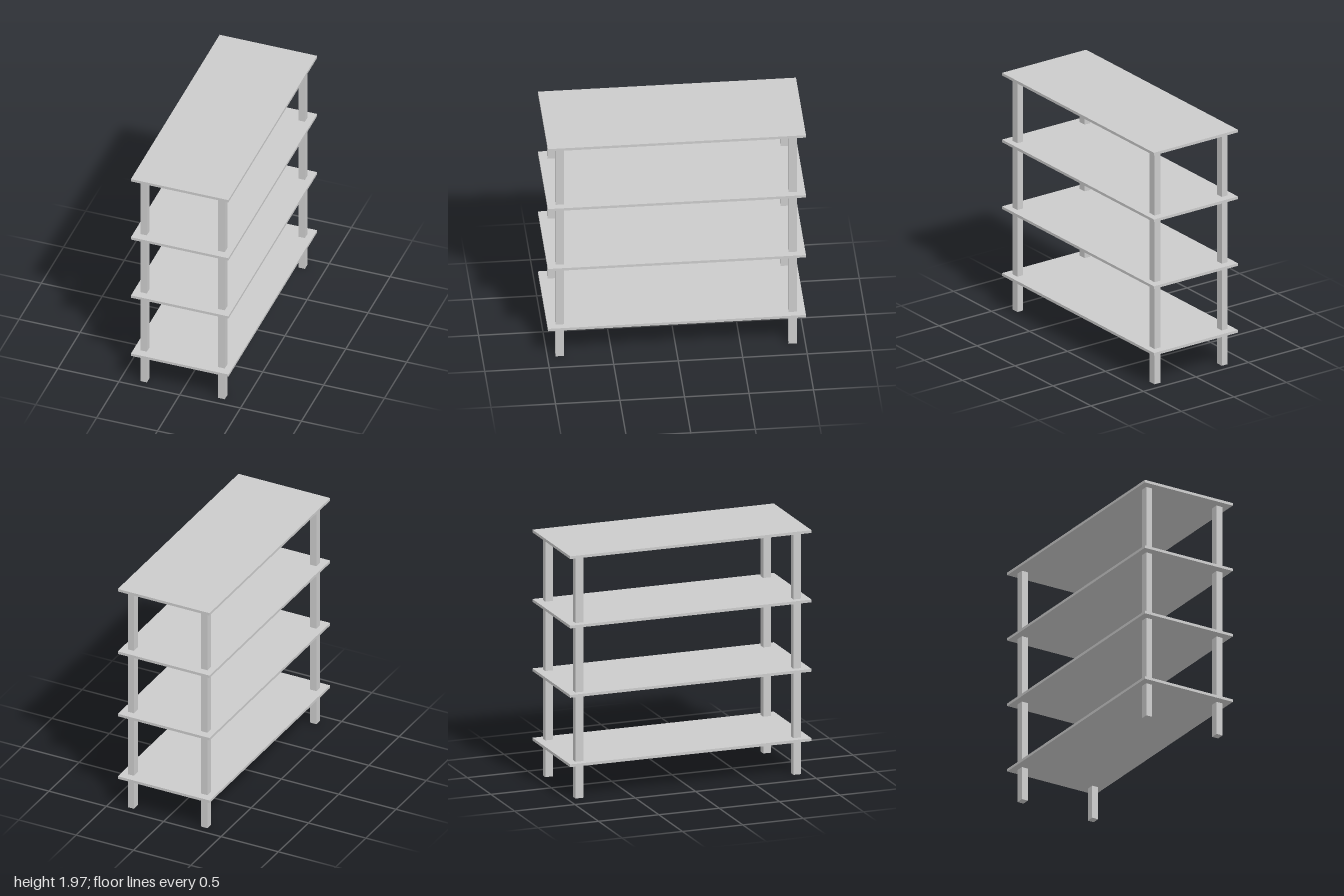
import * as THREE from 'three';

const SHELF = { width: 0.8, thickness: 0.022, depth: 2, firstY: 0.284, pitch: 0.557, count: 4 };
const POST = { width: 0.054, depth: 0.064, x: 0.32, z: 0.903 };

export function createModel() {
  const group = new THREE.Group();
  group.name = 'shelvingUnit';
  const material = new THREE.MeshStandardMaterial({ color: 0xcccccc });

  const addBox = (name, size, position) => {
    const mesh = new THREE.Mesh(new THREE.BoxGeometry(...size), material);
    mesh.name = name;
    mesh.position.set(...position);
    group.add(mesh);
  };

  // Evenly spaced shelf boards
  for (let i = 0; i < SHELF.count; i++) {
    addBox(`shelf${i + 1}`, [SHELF.width, SHELF.thickness, SHELF.depth], [0, SHELF.firstY + i * SHELF.pitch, 0]);
  }

  // Corner posts, from the floor to the underside of the top shelf
  const postHeight = SHELF.firstY + (SHELF.count - 1) * SHELF.pitch - SHELF.thickness / 2;
  for (const [side, sx] of [['Left', 1], ['Right', -1]]) {
    for (const [end, sz] of [['front', 1], ['back', -1]]) {
      addBox(`${end}${side}Post`, [POST.width, postHeight, POST.depth], [sx * POST.x, postHeight / 2, sz * POST.z]);
    }
  }

  return group;
}
